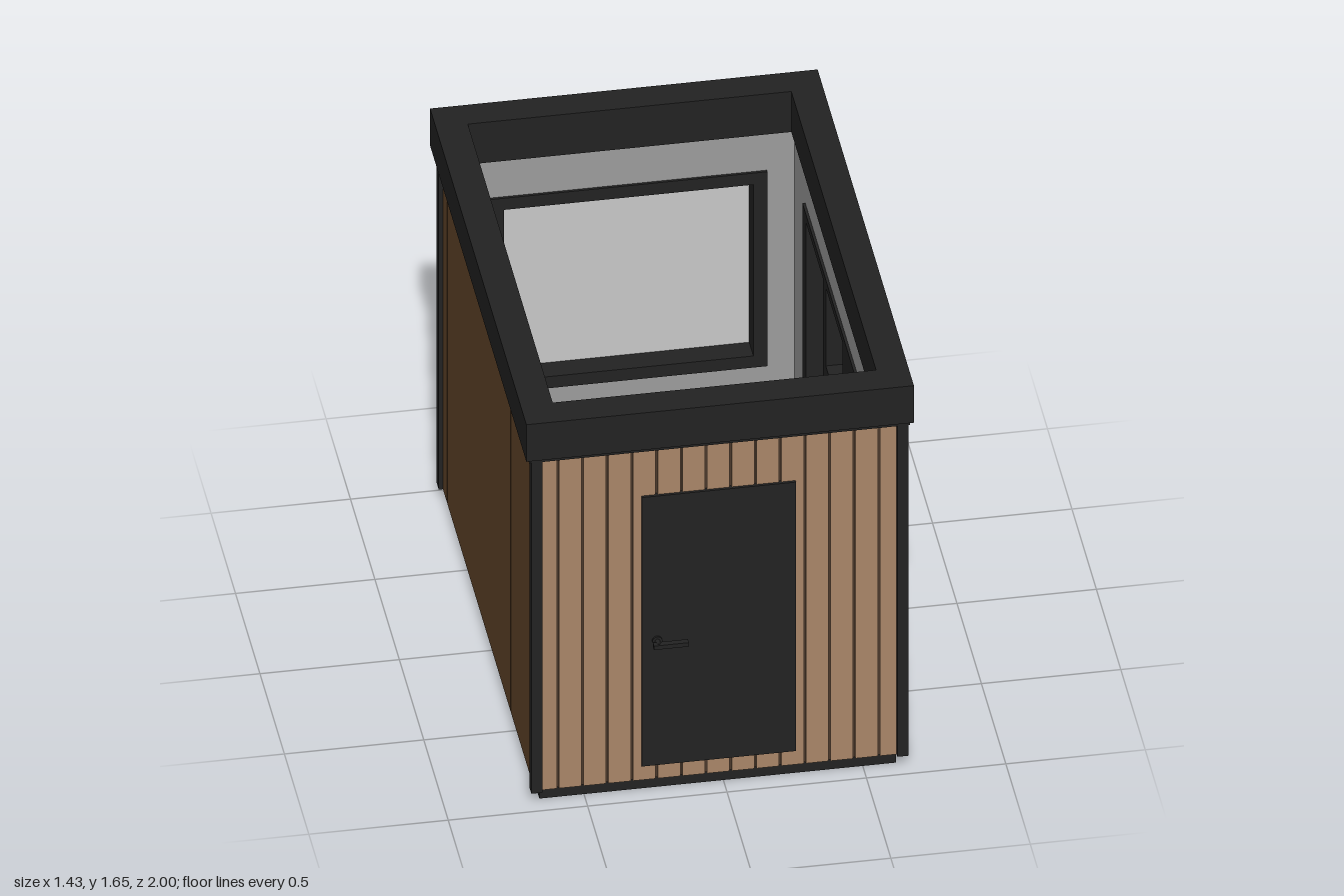
import * as THREE from 'three';

const mat = (name, color) => Object.assign(new THREE.MeshStandardMaterial({ color }), { name });

export function createModel() {
  const charcoal = mat('charcoal', 0x222222);
  const wood = mat('light wood', 0xaa8668);
  const groove = mat('groove brown', 0x4a382b);
  const brown = mat('dark brown panel', 0x65472b);
  const seam = mat('panel seam', 0x33230f);
  const grey = mat('interior grey', 0x9c9c9c);
  const glass = mat('window glass', 0xc8c8c8);

  const root = new THREE.Group();
  root.name = 'cabin';

  // Box given by its limits on each axis
  function box(parent, name, material, x0, x1, y0, y1, z0, z1) {
    const m = new THREE.Mesh(new THREE.BoxGeometry(x1 - x0, y1 - y0, z1 - z0), material);
    m.position.set((x0 + x1) / 2, (y0 + y1) / 2, (z0 + z1) / 2);
    m.name = name;
    parent.add(m);
    return m;
  }

  // Rectangular plate with rectangular holes; rectangles are [u0, u1, y0, y1]
  function plate(parent, name, material, outer, holes, d0, d1) {
    const trace = (p, [a, b, c, d]) =>
      p.moveTo(a, c).lineTo(b, c).lineTo(b, d).lineTo(a, d).lineTo(a, c);
    const shape = trace(new THREE.Shape(), outer);
    holes.forEach(h => shape.holes.push(trace(new THREE.Path(), h)));
    const geo = new THREE.ExtrudeGeometry(shape, { depth: d1 - d0, bevelEnabled: false });
    geo.translate(0, 0, d0);
    const m = new THREE.Mesh(geo, material);
    m.name = name;
    parent.add(m);
    return m;
  }

  // Cylinder lying along local x or z
  function rod(parent, name, r, length, axis, x, y, z) {
    const m = new THREE.Mesh(new THREE.CylinderGeometry(r, r, length, 24), charcoal);
    if (axis === 'x') m.rotation.z = Math.PI / 2;
    else m.rotation.x = Math.PI / 2;
    m.position.set(x, y, z);
    m.name = name;
    parent.add(m);
  }

  // Wall facing local +z: lining, dark backing and boards split at the joints
  function wall({ name, angle, face, inner, u0, u1, joints, gap, board, back, hole }) {
    const g = new THREE.Group();
    g.name = name;
    g.rotation.y = angle;
    root.add(g);
    const holes = hole ? [hole] : [];
    plate(g, 'lining', grey, [u0, u1, 0.05, 1.49], holes, inner, inner + 0.025);
    plate(g, 'backing', back, [u0, u1, 0.05, 1.49], holes, inner + 0.025, face - 0.008);
    const edges = [u0, ...joints, u1];
    for (let i = 0; i + 1 < edges.length; i++) {
      const a = edges[i] + gap / 2, b = edges[i + 1] - gap / 2;
      const piece = (p, q, y0, y1) => {
        if (q - p > 0.002) box(g, 'board', board, p, q, y0, y1, face - 0.008, face);
      };
      if (!hole || b < hole[0] || a > hole[1]) piece(a, b, 0.05, 1.485);
      else {
        piece(a, b, 0.05, hole[2]);
        piece(a, b, hole[3], 1.485);
        piece(a, hole[0], hole[2], hole[3]);
        piece(hole[1], b, hole[2], hole[3]);
      }
    }
    return g;
  }
  const series = (start, step, n) => Array.from({ length: n }, (_, i) => start + i * step);

  // Base and floor
  box(root, 'base', charcoal, -0.66, 0.62, 0, 0.05, -0.945, 0.925);
  box(root, 'floor', grey, -0.65, 0.61, 0.05, 0.056, -0.935, 0.915);

  // Four walls
  const front = wall({
    name: 'frontWall', angle: 0, face: 0.945, inner: 0.875, u0: -0.66, u1: 0.625,
    joints: series(-0.597, 0.0886, 14), gap: 0.008, board: wood, back: groove });
  const right = wall({
    name: 'windowWall', angle: Math.PI / 2, face: 0.64, inner: 0.575, u0: -0.925, u1: 0.945,
    joints: series(-0.914, 0.0894, 21), gap: 0.008, board: wood, back: groove,
    hole: [-0.61, 0.665, 0.51, 1.29] });
  const rear = wall({
    name: 'backWall', angle: Math.PI, face: 0.965, inner: 0.895, u0: -0.625, u1: 0.665,
    joints: [-0.44, 0.02, 0.48], gap: 0.005, board: brown, back: seam,
    hole: [-0.455, 0.5, 0.495, 1.295] });
  wall({
    name: 'plainWall', angle: -Math.PI / 2, face: 0.68, inner: 0.615, u0: -0.945, u1: 0.925,
    joints: [-0.845, -0.195, 0.455], gap: 0.005, board: brown, back: seam });

  // Corner posts
  for (const [x0, x1] of [[-0.695, -0.655], [0.618, 0.657]])
    for (const [z0, z1] of [[-0.975, -0.934], [0.92, 0.961]])
      box(root, 'cornerPost', charcoal, x0, x1, 0.05, 1.49, z0, z1);

  // Open roof rim with a thin trim below it
  const opening = [-0.6, 0.56, -0.855, 0.88];
  const rim = plate(root, 'roofRim', charcoal, [-0.715, 0.675, -0.973, 0.997], [opening], 1.495, 1.655);
  const trim = plate(root, 'roofTrim', charcoal, [-0.703, 0.663, -0.963, 0.983], [opening], 1.48, 1.495);
  rim.rotation.x = trim.rotation.x = -Math.PI / 2;

  // Door with lever handle
  box(front, 'door', charcoal, -0.298, 0.255, 0.115, 1.277, 0.93, 0.955);
  rod(front, 'handleRosette', 0.018, 0.008, 'z', -0.243, 0.655, 0.958);
  rod(front, 'handleStem', 0.009, 0.04, 'z', -0.243, 0.655, 0.972);
  box(front, 'handleLever', charcoal, -0.262, -0.137, 0.645, 0.662, 0.978, 1.0);

  // Side window: outer frame, four lights and a raised casement sash
  const lights = [
    [-0.51, -0.257, 0.606, 1.228],
    [-0.144, 0.203, 0.938, 1.276],
    [-0.144, 0.203, 0.558, 0.89],
    [0.262, 0.61, 0.558, 1.276],
  ];
  plate(right, 'sideWindowFrame', charcoal, [-0.626, 0.68, 0.487, 1.31], lights, 0.565, 0.662);
  plate(right, 'sideWindowSash', charcoal, [-0.567, -0.198, 0.555, 1.282], [lights[0]], 0.66, 0.669);
  lights.forEach(([a, b, c, d]) => box(right, 'sideWindowGlass', glass, a, b, c, d, 0.634, 0.642));
  box(right, 'sideWindowSill', charcoal, -0.626, 0.68, 0.469, 0.488, 0.63, 0.7);

  // Roller shutter housing and its guide rails
  rod(right, 'shutterHousing', 0.04, 1.335, 'x', 0.026, 1.34, 0.673);
  for (const u of [-0.626, 0.655])
    box(right, 'shutterRail', charcoal, u, u + 0.025, 0.488, 1.31, 0.64, 0.669);

  // Back window
  const pane = [-0.425, 0.47, 0.525, 1.265];
  plate(rear, 'backWindowFrame', charcoal, [-0.475, 0.52, 0.475, 1.315], [pane], 0.885, 1.0);
  box(rear, 'backWindowGlass', glass, pane[0], pane[1], pane[2], pane[3], 0.971, 0.979);

  return root;
}
